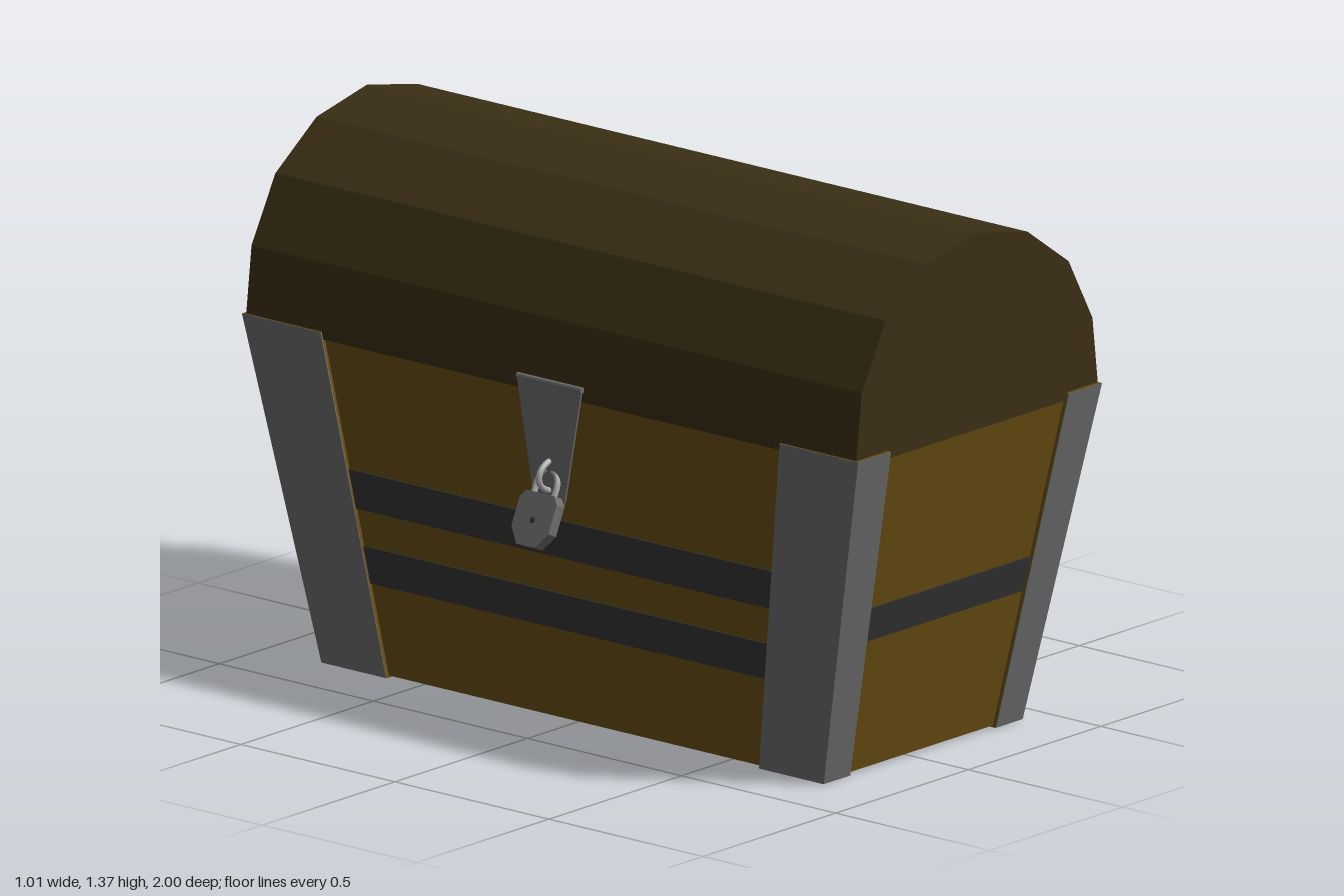
import * as THREE from 'three';

const CX = 0.045, TOP = 0.88;
const mat = (color) => new THREE.MeshStandardMaterial({ color, flatShading: true });
const wood = mat(0x684e12), darkWood = mat(0x3a2e14), iron = mat(0x333333);
const steel = mat(0x6c6c6c), bright = new THREE.MeshStandardMaterial({ color: 0xaaaaaa });

// half width and half length of the flared chest at height y
const hx = (y) => 0.375 + 0.085 * y / TOP;
const hz = (y) => 0.815 + 0.185 * y / TOP;
// inner edges of the corner posts
const px = (y) => 0.275 + 0.06 * y / TOP;
const pz = (y) => 0.605 + 0.14 * y / TOP;

// six-sided solid between heights y0 and y1; rect(y) gives [x0, x1, z0, z1]
function taperedBlock(y0, y1, rect) {
  const g = new THREE.BoxGeometry(1, 1, 1);
  const p = g.attributes.position;
  for (let i = 0; i < p.count; i++) {
    const y = p.getY(i) > 0 ? y1 : y0;
    const [xa, xb, za, zb] = rect(y);
    p.setXYZ(i, CX + (p.getX(i) > 0 ? xb : xa), y, p.getZ(i) > 0 ? zb : za);
  }
  g.computeVertexNormals();
  return g;
}

export function createModel() {
  const model = new THREE.Group();
  model.name = 'chest';
  const add = (name, geometry, material, parent = model) => {
    const m = new THREE.Mesh(geometry, material);
    m.name = name;
    parent.add(m);
    return m;
  };

  // flared wooden body
  const IN = 0.012;
  add('body', taperedBlock(0.005, 0.87, (y) => [-hx(y) + IN, hx(y) - IN, -hz(y) + IN, hz(y) - IN]), wood);

  // faceted lid
  const arc = [[0.453, 0.86], [0.455, 0.88], [0.435, 1.05], [0.345, 1.215], [0.19, 1.325]];
  const outline = [...arc, [0, 1.365], ...arc.map(([x, y]) => [-x, y]).reverse()];
  const lidShape = new THREE.Shape(outline.map(([x, y]) => new THREE.Vector2(CX + x, y)));
  const lid = new THREE.ExtrudeGeometry(lidShape, { depth: 1.98, bevelEnabled: false });
  add('lid', lid.translate(0, 0, -0.99), darkWood);

  // corner posts: wooden core with steel outer faces
  const E = 0.002;
  const span = (s, a, b) => (s > 0 ? [a, b] : [-b, -a]);
  for (const sx of [-1, 1]) for (const sz of [-1, 1]) {
    const post = new THREE.Group();
    post.name = 'cornerPost';
    model.add(post);
    add('postCore', taperedBlock(0, TOP, (y) => [
      ...span(sx, px(y), hx(y) - E), ...span(sz, pz(y), hz(y) - E)]), wood, post);
    add('postSidePlate', taperedBlock(0.001, TOP - 0.001, (y) => [
      ...span(sx, hx(y) - 2 * E, hx(y)), ...span(sz, pz(y), hz(y))]), steel, post);
    add('postEndPlate', taperedBlock(0.001, TOP - 0.001, (y) => [
      ...span(sx, px(y), hx(y)), ...span(sz, hz(y) - 2 * E, hz(y))]), steel, post);
  }

  // iron bands, two on the lock side
  const P = 0.008;
  const sideBand = (s, y0, y1) => add('sideBand', taperedBlock(y0, y1, (y) => [
    ...span(s, hx(y) - 0.03, hx(y) - P), -pz(y) - 0.01, pz(y) + 0.01]), iron);
  const endBand = (s, y0, y1) => add('endBand', taperedBlock(y0, y1, (y) => [
    -px(y) - 0.01, px(y) + 0.01, ...span(s, hz(y) - 0.03, hz(y) - P)]), iron);
  sideBand(1, 0.36, 0.45);
  sideBand(-1, 0.43, 0.53);
  sideBand(-1, 0.24, 0.335);
  endBand(1, 0.36, 0.45);
  endBand(-1, 0.36, 0.45);

  // hasp plate hanging from a pin
  const hasp = new THREE.Shape();
  hasp.moveTo(-0.105, 0.893);
  hasp.lineTo(-0.055, 0.62);
  hasp.quadraticCurveTo(-0.045, 0.545, 0, 0.545);
  hasp.quadraticCurveTo(0.045, 0.545, 0.055, 0.62);
  hasp.lineTo(0.105, 0.893);
  const plate = new THREE.ExtrudeGeometry(hasp, { depth: 0.006, bevelEnabled: false, curveSegments: 6 });
  add('haspPlate', plate.rotateY(-Math.PI / 2).translate(-0.413, 0, 0), steel);
  const pin = new THREE.CylinderGeometry(0.008, 0.008, 0.21, 8).rotateX(Math.PI / 2);
  add('haspPin', pin.translate(-0.415, 0.893, 0), steel);

  // staple through the hasp
  const loop = [];
  for (let i = 0; i <= 8; i++) {
    const a = Math.PI * (0.5 + i / 8);
    loop.push(new THREE.Vector3(-0.395 + 0.062 * Math.cos(a), 0.655 + 0.04 * Math.sin(a), 0));
  }
  add('staple', new THREE.TubeGeometry(new THREE.CatmullRomCurve3(loop), 20, 0.008, 8), bright);

  // padlock, tilted outward
  const lock = new THREE.Group();
  lock.name = 'padlock';
  lock.position.set(-0.437, 0.612, 0);
  lock.rotation.z = -0.43;
  model.add(lock);
  const face = [[-0.045, 0], [-0.06, -0.02], [-0.06, -0.095], [-0.03, -0.135],
    [0.03, -0.135], [0.06, -0.095], [0.06, -0.02], [0.045, 0]];
  const lockShape = new THREE.Shape(face.map(([x, y]) => new THREE.Vector2(x, y)));
  const lockBody = new THREE.ExtrudeGeometry(lockShape, { depth: 0.032, bevelEnabled: false });
  add('lockBody', lockBody.translate(0, 0, -0.016).rotateY(Math.PI / 2), steel, lock);
  const keyhole = new THREE.CylinderGeometry(0.008, 0.008, 0.004, 10).rotateZ(Math.PI / 2);
  add('keyhole', keyhole.translate(-0.016, -0.07, 0), iron, lock);
  const bow = [[-0.032, -0.01], [-0.032, 0.03], [-0.022, 0.052], [0, 0.062],
    [0.022, 0.052], [0.032, 0.03], [0.032, -0.01]];
  const bowCurve = new THREE.CatmullRomCurve3(bow.map(([z, y]) => new THREE.Vector3(0, y, z)));
  add('shackle', new THREE.TubeGeometry(bowCurve, 24, 0.008, 8), bright, lock);

  return model;
}
